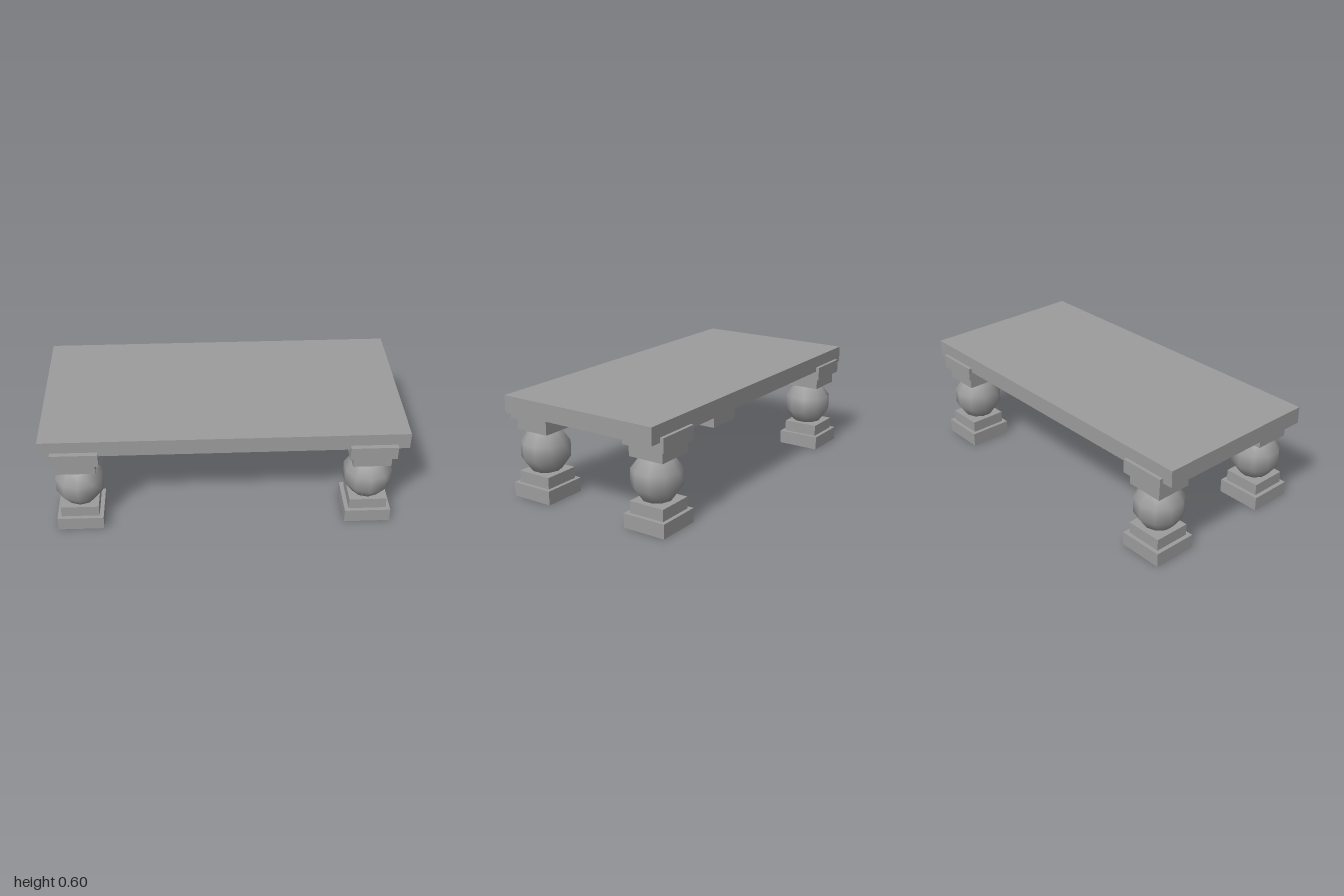
import * as THREE from 'three';

const material = new THREE.MeshStandardMaterial({ color: 0x9c9c9c });

function addMesh(parent, name, geometry, x, y, z) {
  const mesh = new THREE.Mesh(geometry, material);
  mesh.name = name;
  mesh.position.set(x, y, z);
  parent.add(mesh);
  return mesh;
}

// Square block spanning the heights y0 to y1
function addBlock(parent, name, width, depth, y0, y1) {
  addMesh(parent, name, new THREE.BoxGeometry(width, y1 - y0, depth), 0, (y0 + y1) / 2, 0);
}

// Stepped foot, ball and stepped capital
function createLeg(name, ballX, ballZ) {
  const leg = new THREE.Group();
  leg.name = name;
  addBlock(leg, 'foot', 0.258, 0.251, 0, 0.079);
  addBlock(leg, 'footStep', 0.211, 0.207, 0.079, 0.144);
  const ball = new THREE.SphereGeometry(0.1425, 10, 5).rotateY(Math.PI / 2);
  addMesh(leg, 'ball', ball, ballX, 0.264, ballZ);
  addBlock(leg, 'capitalStep', 0.211, 0.207, 0.383, 0.448);
  addBlock(leg, 'capital', 0.258, 0.251, 0.448, 0.526);
  return leg;
}

export function createModel() {
  const table = new THREE.Group();
  table.name = 'table';

  // Slab top
  addMesh(table, 'tableTop', new THREE.BoxGeometry(2, 0.095, 0.961), 0, 0.5475, -0.0105);

  // Four legs, each ball sitting slightly off its blocks' centre
  for (const [side, x, ballX] of [['Left', 0.805, -0.001], ['Right', -0.81, 0.004]]) {
    for (const [end, z, ballZ] of [['front', 0.372, 0.004], ['back', -0.385, 0.009]]) {
      const leg = createLeg(`${end}${side}Leg`, ballX, ballZ);
      leg.position.set(x, 0, z);
      table.add(leg);
    }
  }
  return table;
}
